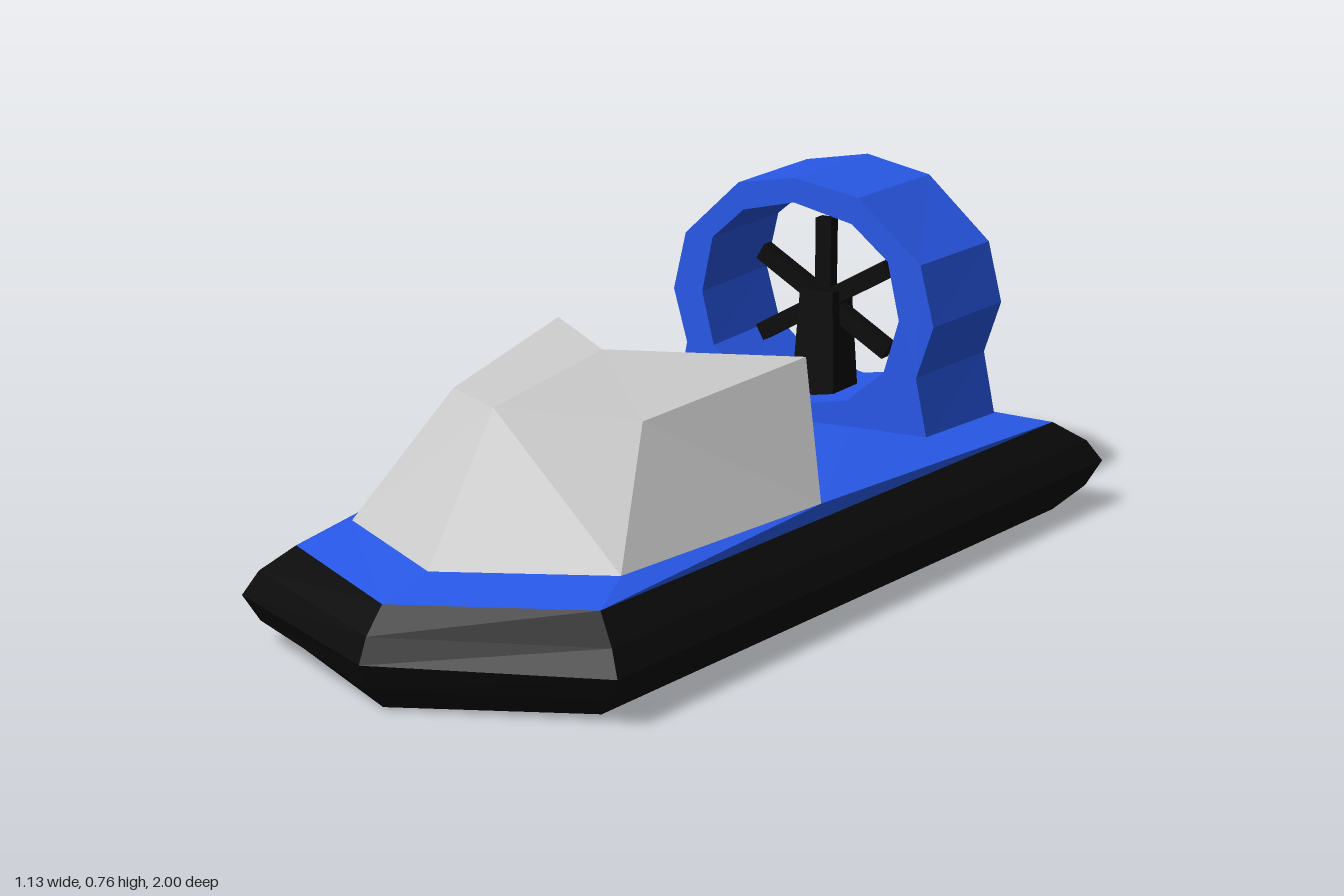
import * as THREE from 'three';

const mat = (color) => new THREE.MeshStandardMaterial({ color, flatShading: true });

// Mesh from polygons of points, each split as a fan from its first corner
function facetMesh(name, polygons, material) {
  const pos = [];
  for (const p of polygons)
    for (let i = 1; i < p.length - 1; i++) pos.push(...p[0], ...p[i], ...p[i + 1]);
  const g = new THREE.BufferGeometry();
  g.setAttribute('position', new THREE.Float32BufferAttribute(pos, 3));
  g.computeVertexNormals();
  const mesh = new THREE.Mesh(g, material);
  mesh.name = name;
  return mesh;
}

// Adds the mirrored half, with the corner order reversed
const mirrored = (polys) => [
  ...polys,
  ...polys.map((p) => p.map(([x, y, z]) => [-x, y, z]).reverse()).map((p) => [p[p.length - 1], ...p.slice(0, -1)]),
];

export function createModel() {
  const model = new THREE.Group();
  const blue = mat(0x2858e8), black = mat(0x0a0a0a), grey = mat(0xcccccc);

  // Inflated skirt: rings blended between the widest outline and the deck edge
  const outer = [[0, -1], [-0.565, -1], [-0.45, 0.8], [0, 1], [0.45, 0.8], [0.565, -1]];
  const inner = [[0, -0.92], [-0.485, -0.905], [-0.365, 0.73], [0, 0.925], [0.365, 0.73], [0.485, -0.905]];
  const levels = [[0, 0.95], [0.05, 0.32], [0.105, 0], [0.155, 0.32], [0.205, 1]];
  const rings = levels.map(([y, t]) => outer.map(([x, z], i) =>
    [x + (inner[i][0] - x) * t, y, z + (inner[i][1] - z) * t]));
  const skirt = [[...rings[0]].reverse()];
  for (let l = 0; l < rings.length - 1; l++)
    for (let i = 0; i < 6; i++) {
      const j = (i + 1) % 6;
      skirt.push([rings[l][i], rings[l][j], rings[l + 1][j], rings[l + 1][i]]);
    }
  model.add(facetMesh('skirt', skirt, black));

  // Deck, rising slightly to the foot of the cabin
  const sternMid = [0, 0.205, -0.92], stern = [0.485, 0.205, -0.905];
  const shoulder = [0.365, 0.205, 0.73], bow = [0, 0.205, 0.925];
  const rearFoot = [0.415, 0.235, 0], sideFoot = [0.325, 0.23, 0.6];
  const frontFoot = [0, 0.23, 0.78], notchFoot = [0, 0.235, 0.2];
  model.add(facetMesh('deck', mirrored([
    [sternMid, notchFoot, rearFoot], [sternMid, rearFoot, stern],
    [stern, rearFoot, shoulder], [rearFoot, sideFoot, shoulder],
    [sideFoot, frontFoot, bow, shoulder],
  ]), blue));

  // Faceted cabin with a notched rear
  const peak = [0, 0.54, 0.18], brow = [0, 0.505, 0.56];
  const browSide = [0.23, 0.47, 0.38], fin = [0.31, 0.505, -0.11];
  model.add(facetMesh('cabin', mirrored([
    [peak, brow, browSide], [peak, browSide, fin],
    [brow, frontFoot, sideFoot, browSide],
    [browSide, sideFoot, rearFoot, fin],
    [fin, rearFoot, notchFoot],
  ]), grey));
  model.add(facetMesh('cabinRearOpening', mirrored([[peak, fin, notchFoot]]), black));

  // Fan duct: polygonal ring on a flared foot
  const closed = (half) => [...half, ...half.filter(([x]) => x > 0).reverse().map(([x, y]) => [-x, y])]
    .map(([x, y]) => new THREE.Vector2(x, y));
  const ductShape = new THREE.Shape(closed([[0, 0.205], [0.34, 0.205], [0.31, 0.345], [0.35, 0.465],
    [0.315, 0.6], [0.16, 0.735], [0, 0.765]]));
  ductShape.holes.push(new THREE.Path(closed([[0, 0.25], [0.14, 0.275], [0.23, 0.35], [0.265, 0.47],
    [0.235, 0.6], [0.145, 0.675], [0, 0.71]])));
  const ductGeo = new THREE.ExtrudeGeometry(ductShape, { depth: 0.32, bevelEnabled: false });
  ductGeo.translate(0, 0, -0.9);
  const p = ductGeo.attributes.position;
  for (let i = 0; i < p.count; i++)
    if (p.getZ(i) > -0.7) { // front rim swept back and narrowed at the sides
      p.setZ(i, -0.575 - 0.1 * Math.abs(p.getX(i)));
      p.setX(i, p.getX(i) * 0.96);
    }
  ductGeo.computeVertexNormals();
  const duct = new THREE.Mesh(ductGeo, blue);
  duct.name = 'fanDuct';
  model.add(duct);

  // Fan: tapered engine pedestal and six blades
  const fan = new THREE.Group();
  fan.name = 'fan';
  const pedestalGeo = new THREE.CylinderGeometry(0.06, 0.08, 0.28, 4).rotateY(Math.PI / 4);
  const pedestal = new THREE.Mesh(pedestalGeo, black);
  pedestal.name = 'enginePedestal';
  pedestal.position.set(0, 0.35, -0.72);
  fan.add(pedestal);
  for (let i = 0; i < 6; i++) {
    const blade = new THREE.Mesh(new THREE.BoxGeometry(0.04, 0.19, 0.03).translate(0, 0.095, 0), black);
    blade.name = 'fanBlade';
    blade.position.set(0, 0.46, -0.72);
    blade.rotation.z = (i * Math.PI) / 3;
    fan.add(blade);
  }
  model.add(fan);
  return model;
}
